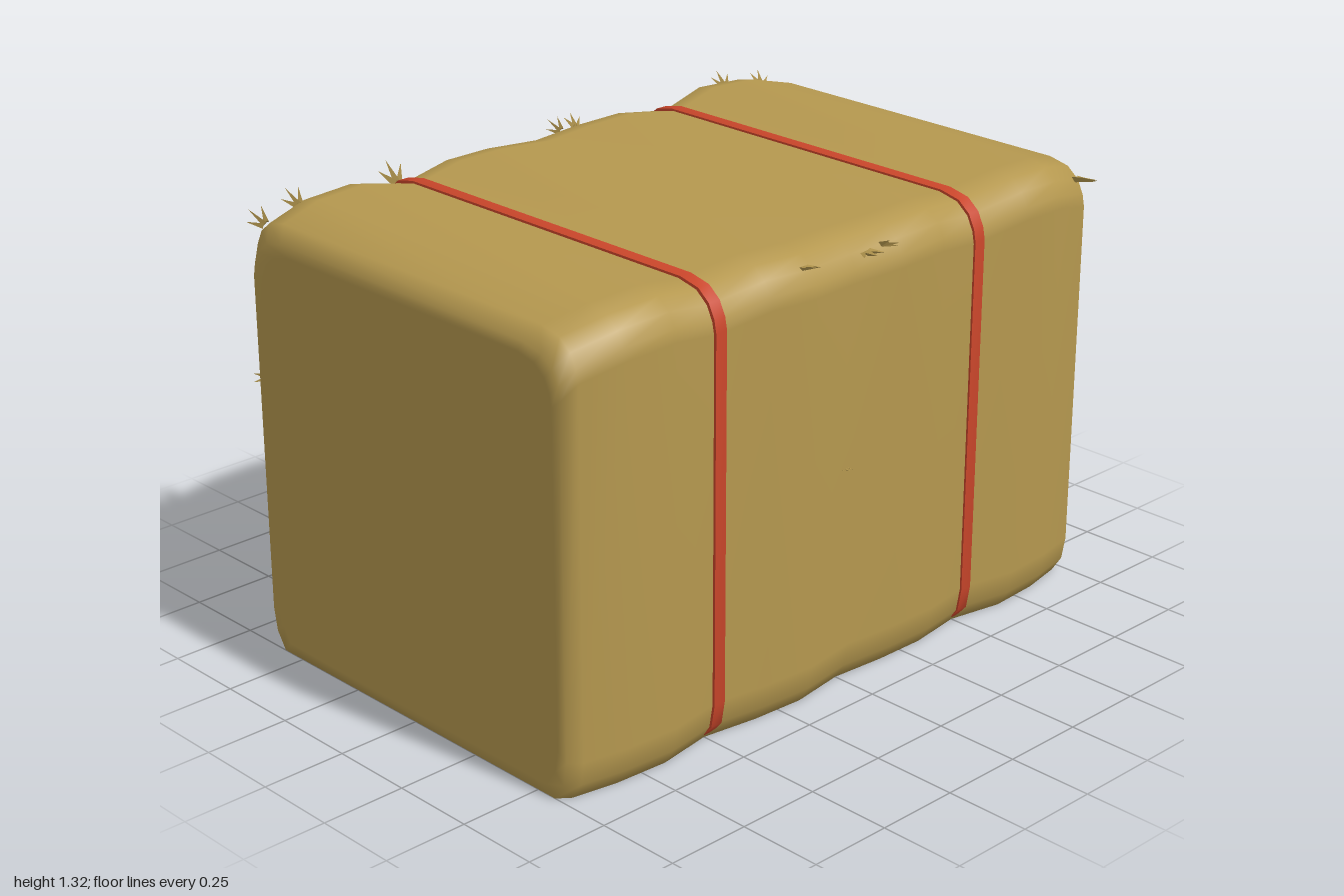
import * as THREE from 'three';
import { toCreasedNormals } from 'three/addons/utils/BufferGeometryUtils.js';

// Bale outline along its length: x, top height, front depth, back depth
const STATIONS = [
  [-1, 1.235, 0.61, 0.625], [-0.965, 1.278, 0.638, 0.655], [-0.83, 1.306, 0.662, 0.68],
  [-0.67, 1.315, 0.672, 0.68], [-0.5, 1.283, 0.645, 0.66], [-0.33, 1.308, 0.67, 0.678],
  [-0.17, 1.304, 0.68, 0.69], [0, 1.295, 0.655, 0.675], [0.17, 1.3, 0.668, 0.69],
  [0.33, 1.306, 0.67, 0.68], [0.5, 1.283, 0.645, 0.66], [0.67, 1.315, 0.677, 0.685],
  [0.83, 1.308, 0.666, 0.68], [0.965, 1.276, 0.638, 0.65], [1, 1.235, 0.61, 0.62],
];

// Cross-section from the front bottom edge, over the top, to the back bottom edge
function section([x, top, front, back]) {
  const corner = [[0.045, 0], [0.012, 0.05], [0, 0.12], [0, top - 0.12], [0.007, top - 0.085],
    [0.027, top - 0.045], [0.065, top - 0.014], [0.13, top]];
  const f = corner.map(([d, y]) => [x, y, front - d]);
  const b = corner.map(([d, y]) => [x, y, d - back]).reverse();
  return [...f, ...b];
}

// Skin a list of equal-length rings; optionally close each ring and cap the ends
function loft(rings, closed) {
  const n = rings[0].length;
  const pos = rings.flat(2);
  const index = [];
  for (let i = 0; i < rings.length - 1; i++) {
    for (let j = 0; j < (closed ? n : n - 1); j++) {
      const k = (j + 1) % n, a = i * n, b = a + n;
      index.push(a + j, b + j, b + k, a + j, b + k, a + k);
    }
  }
  if (closed) {
    for (const end of [0, rings.length - 1]) {
      const c = pos.length / 3, s = end * n;
      pos.push(rings[end][0][0], 0.62, 0);
      for (let j = 0; j < n; j++) {
        const k = (j + 1) % n;
        if (end) index.push(c, s + k, s + j);
        else index.push(c, s + j, s + k);
      }
    }
  }
  const geo = new THREE.BufferGeometry();
  geo.setAttribute('position', new THREE.Float32BufferAttribute(pos, 3));
  geo.setIndex(index);
  geo.computeVertexNormals();
  return geo;
}

export function createModel() {
  const straw = new THREE.MeshStandardMaterial({ color: 0xb5984f });
  straw.name = 'straw';
  const red = new THREE.MeshStandardMaterial({ color: 0xc8452a, side: THREE.DoubleSide });
  red.name = 'red twine';

  const model = new THREE.Group();
  model.name = 'strawBale';
  const add = (geo, mat, name, parent = model) => {
    const mesh = new THREE.Mesh(geo, mat);
    mesh.name = name;
    parent.add(mesh);
    return mesh;
  };

  // Bale body; the extra underside points keep its bottom flat,
  // and smaller end rings keep the end faces flat
  const full = (s) => [...section(s), [s[0], 0, -0.5], [s[0], 0, 0.5]];
  const shrink = (s) => full(s).map(([x, y, z]) => [x, 0.62 + (y - 0.62) * 0.95, z * 0.95]);
  const last = STATIONS.length - 1;
  const rings = [shrink(STATIONS[0]), ...STATIONS.map(full), shrink(STATIONS[last])];
  add(loft(rings, true), straw, 'baleBody');

  // Two twine bands lying in the grooves
  for (const side of [-1, 1]) {
    const band = [[-0.022, -0.012], [-0.019, 0.009], [0.019, 0.009], [0.022, -0.012]].map(([dx, off]) =>
      section([side * 0.495 + dx, 1.283 + off, 0.645 + off, 0.66 + off])
        .map(([x, y, z]) => [x, Math.max(y, 0.012), z]));
    add(toCreasedNormals(loft(band, false), 0.7), red, side < 0 ? 'rightTwine' : 'leftTwine');
  }

  // Loose straw tufts: position, outward direction, blade length
  const tufts = [
    [[-0.2, 1.27, 0.655], [0, 0.25, 1], 0.05],
    [[0.04, 1.25, 0.65], [-0.3, 0.15, 1], 0.06],
    [[0.1, 1.26, 0.65], [0.4, 0.2, 1], 0.05],
    [[0.945, 1.24, 0.62], [0.2, 0.1, 1], 0.07],
    [[-0.95, 1.25, -0.63], [-0.4, 0.6, -0.7], 0.06],
    [[-0.82, 1.27, -0.65], [-0.2, 0.6, -0.7], 0.06],
    [[-0.49, 1.26, -0.635], [0, 0.7, -0.7], 0.075],
    [[0.14, 1.27, -0.66], [-0.4, 0.6, -0.7], 0.05],
    [[0.2, 1.27, -0.66], [0.2, 0.6, -0.7], 0.05],
    [[0.81, 1.27, -0.65], [0.1, 0.6, -0.7], 0.06],
    [[0.95, 1.25, -0.63], [0.4, 0.6, -0.7], 0.06],
    [[0.965, 0.81, -0.635], [0.4, 0, -1], 0.05],
    [[-0.965, 0.81, -0.635], [-0.4, 0, -1], 0.05],
    [[-0.03, 0.655, 0.65], [0, 0, 1], 0.025],
    [[-0.03, 0.655, -0.67], [0, 0, -1], 0.025],
  ];
  const up = new THREE.Vector3(0, 1, 0);
  for (const [p, d, length] of tufts) {
    const tuft = new THREE.Group();
    tuft.name = 'strawTuft';
    tuft.position.set(...p);
    tuft.quaternion.setFromUnitVectors(up, new THREE.Vector3(...d).normalize());
    model.add(tuft);
    for (const k of [-1, 0, 1]) {
      const h = length * (k ? 0.8 : 1);
      const blade = new THREE.ConeGeometry(length * 0.16, h, 3).translate(0, h / 2, 0);
      const mesh = add(toCreasedNormals(blade, 0.3), straw, 'strawBlade', tuft);
      mesh.position.x = k * 0.008;
      mesh.rotation.set(k * 0.15, 0, -k * 0.5);
    }
  }
  return model;
}
